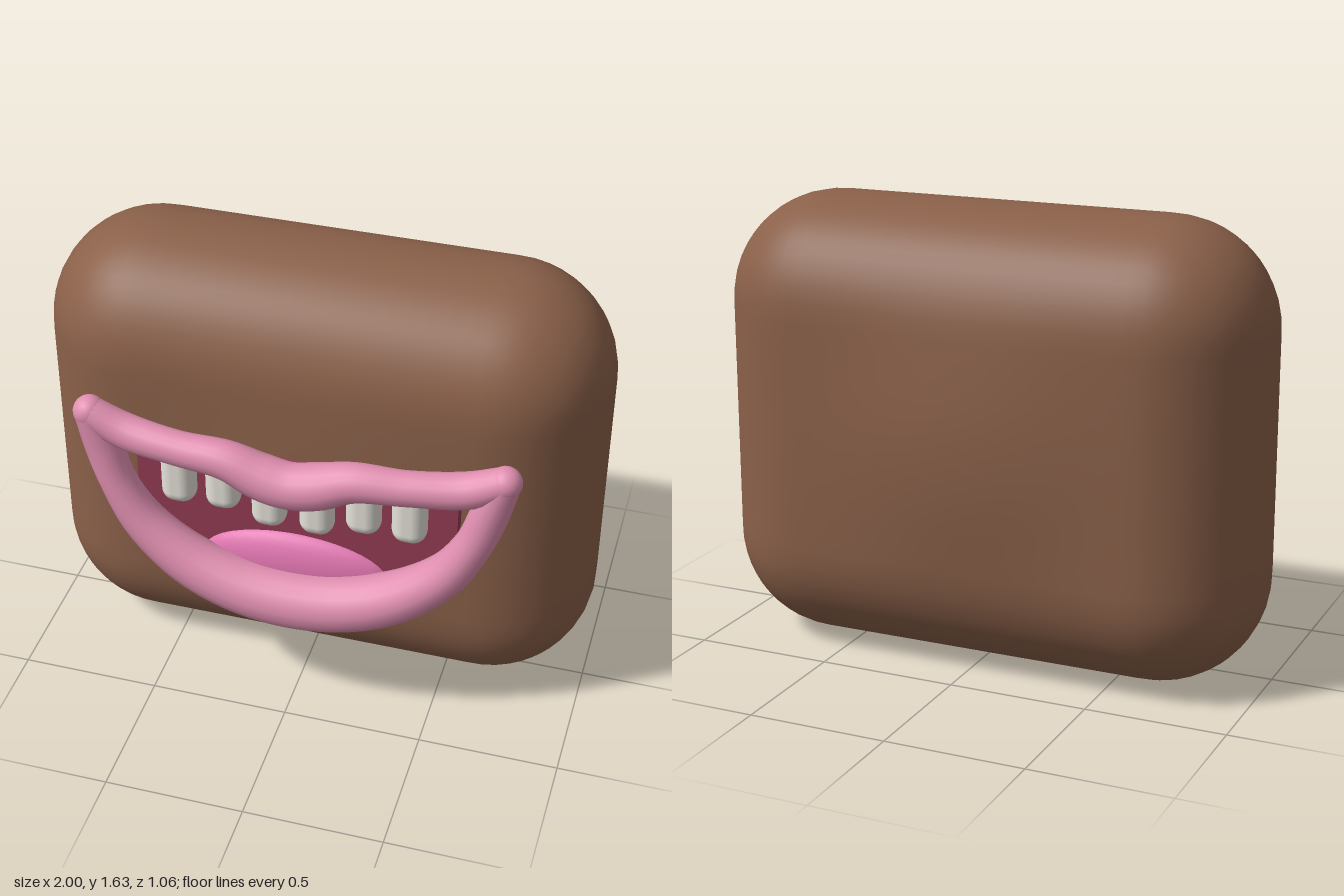
import * as THREE from 'three';
import { mergeVertices } from 'three/addons/utils/BufferGeometryUtils.js';
import { RoundedBoxGeometry } from 'three/addons/geometries/RoundedBoxGeometry.js';

const material = (name, color) => {
  const m = new THREE.MeshStandardMaterial({ color });
  m.name = name;
  return m;
};

// Pillow-like slab: a box rounded by its depth, with swollen front and back faces
function pillowGeometry(half, radius, frontBulge, backBulge) {
  const box = new THREE.BoxGeometry(half.x * 2, half.y * 2, half.z * 2, 30, 24, 12);
  box.deleteAttribute('uv');
  box.deleteAttribute('normal');
  const geo = mergeVertices(box);
  const pos = geo.attributes.position;
  const v = new THREE.Vector3();
  const limit = half.clone().subScalar(radius);
  const hump = (t) => Math.cos(Math.min(Math.abs(t), 1) * Math.PI / 2) ** 2;
  for (let i = 0; i < pos.count; i++) {
    v.fromBufferAttribute(pos, i);
    const core = v.clone().clamp(limit.clone().negate(), limit);
    v.sub(core).normalize().multiplyScalar(radius).add(core);
    const swell = hump(v.x / 0.75) * hump(v.y / 0.65);
    v.z += (v.z > 0 ? frontBulge : -backBulge) * swell * Math.min(1, Math.abs(v.z) / radius);
    pos.setXYZ(i, v.x, v.y, v.z);
  }
  geo.computeVertexNormals();
  return geo;
}

// Tube whose thickness follows the fourth number of each [x, y, z, radius] point
function taperedTube(points, segments, sides) {
  const path = new THREE.CatmullRomCurve3(points.map(([x, y, z]) => new THREE.Vector3(x, y, z)));
  const thickness = new THREE.CatmullRomCurve3(
    points.map((p) => new THREE.Vector3(p[3], 0, 0)), false, 'catmullrom');
  const geo = new THREE.TubeGeometry(path, segments, 0.1, sides);
  const pos = geo.attributes.position;
  const normal = geo.attributes.normal;
  const n = new THREE.Vector3();
  for (let i = 0; i <= segments; i++) {
    const t = path.getUtoTmapping(i / segments);
    const centre = path.getPoint(t);
    const r = thickness.getPoint(t).x;
    for (let j = 0; j <= sides; j++) {
      const k = i * (sides + 1) + j;
      n.fromBufferAttribute(normal, k).multiplyScalar(r).add(centre);
      pos.setXYZ(k, n.x, n.y, n.z);
    }
  }
  return geo;
}

// Completes a left-to-centre list of points with its mirror image
const mirrored = (half) =>
  [...half, ...half.slice(0, -1).reverse().map(([x, ...rest]) => [-x, ...rest])];

export function createModel() {
  const model = new THREE.Group();
  model.name = 'smilingSlab';
  const skin = material('brown skin', 0x8a6049);
  const lipPink = material('lip pink', 0xe08fb0);
  const maroon = material('mouth maroon', 0x943b54);
  const tonguePink = material('tongue pink', 0xe277b2);
  const ivory = material('tooth ivory', 0xe6e2da);

  const add = (name, geometry, mat, x = 0, y = 0, z = 0, parent = model) => {
    const mesh = new THREE.Mesh(geometry, mat);
    mesh.name = name;
    mesh.position.set(x, y, z);
    parent.add(mesh);
    return mesh;
  };

  // Body
  add('body', pillowGeometry(new THREE.Vector3(1, 0.813, 0.385), 0.384, 0.03, 0.05),
    skin, 0, 0.82, -0.095);

  // Mouth interior
  const mouth = new THREE.Shape();
  mouth.moveTo(-0.57, 1.02);
  mouth.lineTo(-0.57, 0.85);
  mouth.bezierCurveTo(-0.54, 0.6, -0.3, 0.42, 0, 0.42);
  mouth.bezierCurveTo(0.3, 0.42, 0.54, 0.6, 0.57, 0.85);
  mouth.lineTo(0.57, 1.02);
  add('mouthInterior', new THREE.ExtrudeGeometry(mouth,
    { depth: 0.08, bevelEnabled: false, curveSegments: 16 }), maroon, 0, 0, 0.265);

  // Tongue
  add('tongue', new THREE.SphereGeometry(1, 32, 20), tonguePink, 0, 0.58, 0.335)
    .scale.set(0.34, 0.145, 0.07);

  // Teeth
  const teeth = new THREE.Group();
  teeth.name = 'teeth';
  model.add(teeth);
  for (const [x, bottom] of [[0.085, 0.775], [0.25, 0.815], [0.41, 0.81]]) {
    for (const side of [-1, 1]) {
      add('tooth', new RoundedBoxGeometry(0.122, 0.23, 0.1, 5, 0.048), ivory,
        side * x, bottom + 0.115, 0.365, teeth);
    }
  }

  // Lips
  const lips = new THREE.Group();
  lips.name = 'lips';
  model.add(lips);
  const upper = mirrored([
    [-0.725, 1.12, 0.365, 0.055], [-0.6, 1.065, 0.37, 0.064], [-0.4, 1.045, 0.39, 0.062],
    [-0.22, 1.042, 0.405, 0.07], [-0.1, 1.005, 0.412, 0.082], [0, 0.988, 0.414, 0.082],
  ]);
  const lower = mirrored([
    [-0.725, 1.12, 0.365, 0.055], [-0.68, 0.98, 0.367, 0.066], [-0.63, 0.84, 0.375, 0.066],
    [-0.54, 0.7, 0.388, 0.078], [-0.38, 0.578, 0.405, 0.093], [-0.2, 0.512, 0.416, 0.102],
    [0, 0.492, 0.42, 0.106],
  ]);
  add('upperLip', taperedTube(upper, 64, 18), lipPink, 0, 0, 0, lips);
  add('lowerLip', taperedTube(lower, 72, 18), lipPink, 0, 0, 0, lips);
  for (const side of [-1, 1]) {
    add('lipCorner', new THREE.SphereGeometry(0.057, 20, 14), lipPink,
      side * 0.725, 1.12, 0.365, lips);
  }
  return model;
}
